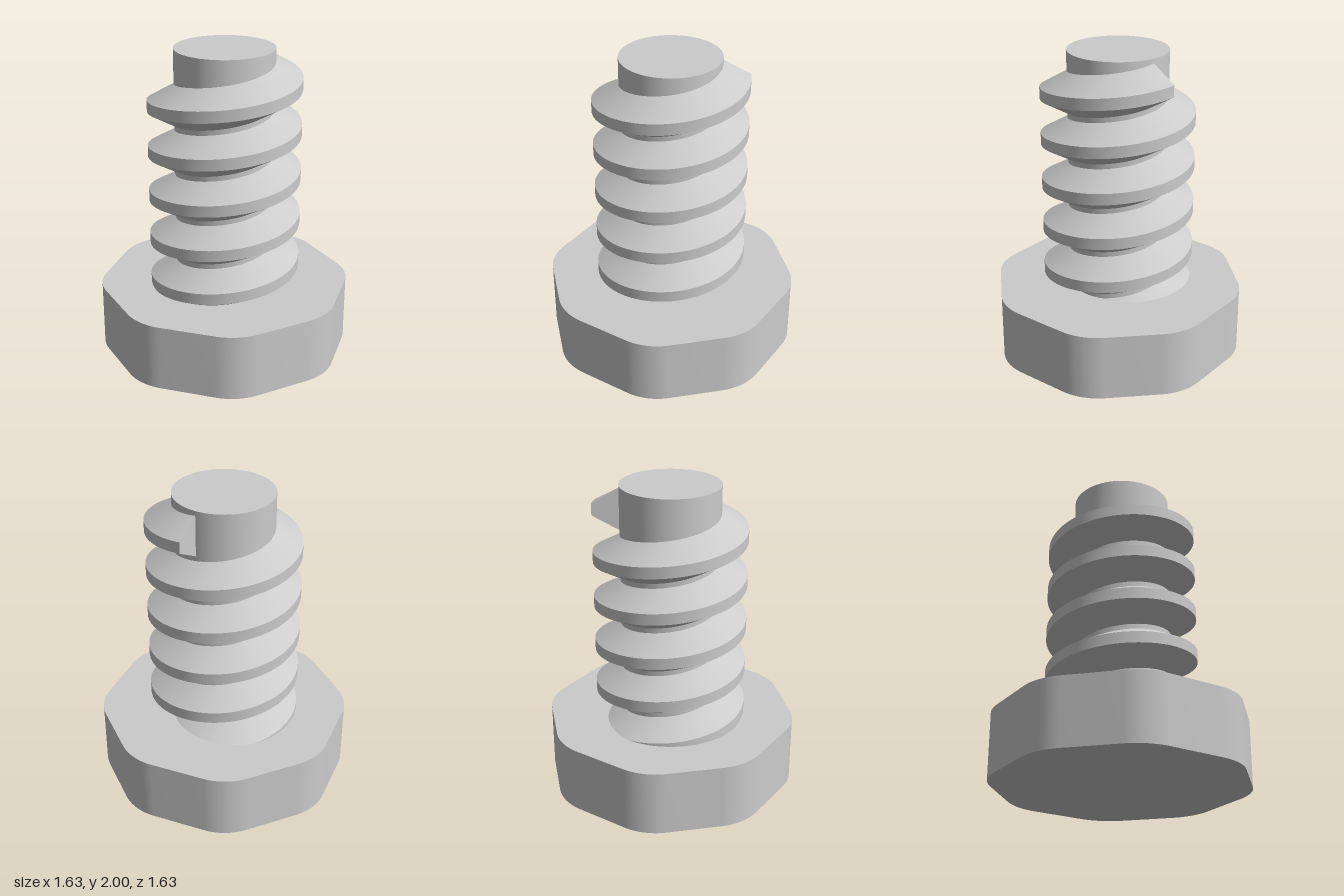
import * as THREE from 'three';
import { toCreasedNormals } from 'three/addons/utils/BufferGeometryUtils.js';

const HEAD_HEIGHT = 0.43;
const CORE_RADIUS = 0.318;

// Octagonal prism with generously rounded corners
function headGeometry() {
  const apothem = 0.78, fillet = 0.355, half = Math.PI / 8;
  const centre = (apothem - fillet) / Math.cos(half);
  const shape = new THREE.Shape();
  for (let k = 0; k < 8; k++) {
    const a = k * 2 * half;
    shape.absarc(centre * Math.cos(a), centre * Math.sin(a), fillet, a - half, a + half, false);
  }
  const geo = new THREE.ExtrudeGeometry(shape, { depth: HEAD_HEIGHT, bevelEnabled: false, curveSegments: 12 });
  return toCreasedNormals(geo.rotateX(-Math.PI / 2), 0.5);
}

// Trapezoidal profile swept along a rising helix, closed by a flat end
function threadGeometry() {
  const pitch = 0.298, turns = 5.5, perTurn = 96;
  const endAngle = THREE.MathUtils.degToRad(13), endY = 1.837;
  const profile = [[0.3, -0.143], [0.488, -0.037], [0.488, 0.037], [0.3, 0.143]]; // radius, height
  const steps = turns * perTurn, n = profile.length;
  const positions = [], index = [];
  for (let i = 0; i <= steps; i++) {
    const back = turns - i / perTurn;
    const a = endAngle - back * Math.PI * 2;
    for (const [r, h] of profile) {
      positions.push(r * Math.cos(a), endY - back * pitch + h, -r * Math.sin(a));
    }
  }
  for (let i = 0; i < steps; i++) {
    for (let j = 0; j < n - 1; j++) {
      const p = i * n + j, q = p + n;
      index.push(p, q, q + 1, p, q + 1, p + 1);
    }
  }
  const e = steps * n;
  index.push(e, e + 2, e + 1, e, e + 3, e + 2);
  const geo = new THREE.BufferGeometry();
  geo.setAttribute('position', new THREE.Float32BufferAttribute(positions, 3));
  geo.setIndex(index);
  return toCreasedNormals(geo, 0.4);
}

export function createModel() {
  const group = new THREE.Group();
  group.name = 'bolt';
  const material = new THREE.MeshStandardMaterial({ color: 0xcccccc });
  const add = (name, geometry) => {
    const mesh = new THREE.Mesh(geometry, material);
    mesh.name = name;
    group.add(mesh);
    return mesh;
  };

  add('head', headGeometry());

  // Shaft starts inside the head and ends at the top
  const bottom = 0.2, top = 2;
  const shaft = add('shaft', new THREE.CylinderGeometry(CORE_RADIUS, CORE_RADIUS, top - bottom, 96));
  shaft.position.y = (top + bottom) / 2;

  add('thread', threadGeometry());
  return group;
}
